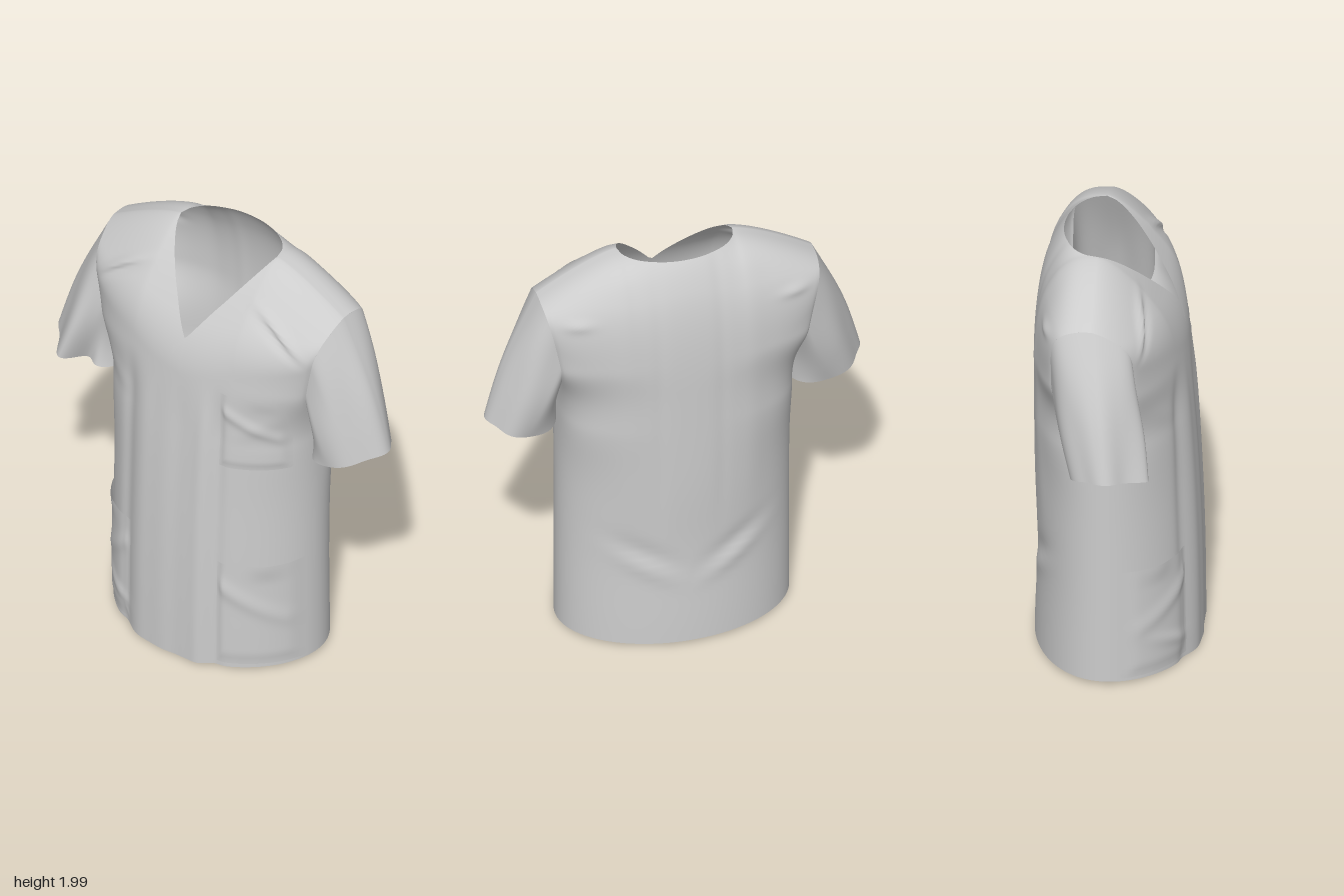
import * as THREE from 'three';
import { mergeGeometries, mergeVertices } from 'three/addons/utils/BufferGeometryUtils.js';

const NECK = 0.26, SHOULDER = 0.62, ARMPIT = 1.18, TOP = 1.995, CREST = -0.075;
const V_X = 0.01, V_Y = 1.635;
const { clamp, lerp, smoothstep } = THREE.MathUtils;
const bump = (x, s) => Math.exp(-((x / s) ** 2));

// Rounded minimum, blends chest and shoulder slopes
const softMin = (a, b, k = 0.06) => {
  const h = Math.max(k - Math.abs(a - b), 0) / k;
  return Math.min(a, b) - h * h * k / 4;
};

// Half width of the torso at a height
const halfWidth = (y) => 0.52 + 0.1 * clamp((y - 1.2) / 0.62, 0, 1) ** 1.5;

// Height of the shoulder line
const shoulderY = (x) => TOP - 0.168 * (Math.max(Math.abs(x) - NECK, 0) / (SHOULDER - NECK)) ** 1.35;

// Rounded cross-section factor: 1 at the centre, 0 at the side
const section = (x, y, low, full) => {
  const r = clamp(1 - (x / halfWidth(y)) ** 2, 0, 1);
  return r ** (lerp(low, 0.75, smoothstep(y, 1.15, 1.6)) - full * bump(y - 1.2, 0.25));
};

// Soft cloth folds
function frontFold(x, y) {
  const low = 1 - smoothstep(y, 1.2, 1.5);
  let f = low * (-0.014 * bump(x + 0.27, 0.04) - 0.014 * bump(x - 0.215, 0.035)
    + 0.01 * bump(x - 0.15, 0.04) + 0.007 * bump(x + 0.17, 0.05) - 0.006 * bump(x - 0.03, 0.05));
  const ax = Math.abs(x);
  const line = 1.86 - 0.45 * (ax - 0.3) - 0.8 * (ax - 0.3) ** 2;
  f += bump(ax - 0.43, 0.11) * (0.02 * bump(y - line + 0.015, 0.018) - 0.012 * bump(y - line + 0.05, 0.02));
  f += 0.006 * bump(ax - 0.4, 0.1) * bump(y - 1.3 - 0.5 * (ax - 0.4), 0.05);
  f += 0.01 * bump(x + 0.36, 0.1) * bump(y - 0.16 + 0.4 * (x + 0.36), 0.03);
  return f;
}

function backFold(x, y) {
  const ax = Math.abs(x), sag = 0.32 + 0.5 * ax;
  let f = bump(ax - 0.2, 0.13) * (0.01 * bump(y - sag, 0.04) - 0.01 * bump(y - sag - 0.08, 0.05));
  f += smoothstep(y, 0.5, 0.9) * (0.004 * bump(ax - 0.28, 0.06) - 0.003 * bump(ax - 0.14, 0.03));
  f += 0.015 * bump(ax - 0.5, 0.07) * bump(y - 1.76, 0.025);
  return f;
}

const foldMask = (x, y, d) => (1 - clamp(Math.abs(x) / halfWidth(y), 0, 1) ** 6) * smoothstep(d, 0.0, 0.08);

// Depth of the front cloth
function frontZ(x, y) {
  const d = Math.max(shoulderY(x) - y, 0);
  const edge = lerp(-0.03, 0.105, smoothstep(y, ARMPIT, 1.48));
  const centre = 0.37 - 0.085 * (y / 1.6) ** 2.2;
  const chest = edge + (centre - edge) * section(x, y, 0.54, 0.08);
  const slope = CREST + 0.36 * (d / 0.39) ** 0.66;
  return softMin(chest, slope) + frontFold(x, y) * foldMask(x, y, d);
}

// Depth of the back cloth; the arch rounds the back of the neck opening
function backZ(x, y) {
  const round = Math.sqrt(Math.max(1 - (x / NECK) ** 2, 0));
  const arch = 0.4 * (0.165 * round / 0.295) ** (1 / 0.33);
  const d = Math.max(shoulderY(x) + arch - y, 0);
  const edge = lerp(0.03, 0.25, smoothstep(y, ARMPIT, 1.52));
  const centre = 0.367 - 0.014 * bump(y - 0.45, 0.3);
  const body = edge + (centre - edge) * section(x, y, 0.5, 0.17);
  const slope = -CREST + 0.295 * (d / 0.4) ** 0.33;
  return -softMin(body, slope) - backFold(x, y) * foldMask(x, y, d);
}

// Height of the V neckline
const neckY = (x) => x > V_X
  ? lerp(V_Y, TOP, (x - V_X) / (NECK - V_X))
  : lerp(V_Y, TOP, (V_X - x) / (NECK + V_X));

// Grid surface from point(u, v), u and v in 0..1
function surface(nu, nv, point) {
  const pos = [], idx = [];
  for (let j = 0; j <= nv; j++) {
    for (let i = 0; i <= nu; i++) pos.push(...point(i / nu, j / nv));
  }
  for (let j = 0; j < nv; j++) {
    for (let i = 0; i < nu; i++) {
      const a = j * (nu + 1) + i, b = a + 1, c = a + nu + 1, d = c + 1;
      idx.push(a, b, d, a, d, c);
    }
  }
  const g = new THREE.BufferGeometry();
  g.setAttribute('position', new THREE.Float32BufferAttribute(pos, 3));
  g.setIndex(idx);
  return g;
}

// Weld shared edges and smooth
function smooth(...parts) {
  const g = mergeVertices(mergeGeometries(parts), 1e-4);
  g.computeVertexNormals();
  return g;
}

// Front (dir 1) or back (dir -1) panel, from the hem to neckline and shoulder
function panel(dir) {
  return surface(124, 90, (a, b) => {
    const u = dir * (a * 2 - 1), top = SHOULDER * u;
    const topY = dir > 0 && Math.abs(top) < NECK ? neckY(top) : shoulderY(top);
    const hem = dir > 0 ? 0.004 + 0.016 * Math.abs(u) : 0.02;
    const y = hem + (topY - hem) * (1 - (1 - b) ** 1.8);
    const round = 1 - smoothstep(y, 1.2, 1.8);
    const x = halfWidth(y) * lerp(u, Math.sin(u * Math.PI / 2), round);
    return [x, y, dir > 0 ? frontZ(x, y) : backZ(x, y)];
  });
}

// Sleeve from the armhole to the cuff
function sleeve(side) {
  const armTop = shoulderY(SHOULDER);
  return surface(96, 36, (a, v) => {
    const phi = -side * a * Math.PI * 2, c = Math.cos(phi), s = Math.sin(phi);
    const ry = lerp(ARMPIT, armTop, 0.5 + 0.5 * c), rx = halfWidth(ry);
    const rz = s >= 0 ? frontZ(rx, ry) : backZ(rx, ry);
    // Left cuff turns back, right cuff flares forward
    const cuffZ = side > 0 ? -0.055 - 0.035 * c : -0.01;
    const flare = side > 0 ? 0 : Math.max(s, 0) * (0.055 * bump(c - 0.3, 0.3) - 0.05 * bump(c + 0.25, 0.25));
    const cx = 0.683 + 0.162 * c, cy = 1.155 + 0.045 * c - 0.01 * s * s;
    const cz = cuffZ + 0.145 * s + flare;
    const swell = Math.sin(Math.PI * v), outer = Math.max(c, 0);
    const fold = 0.009 * Math.sin(phi * 5 + 1) * smoothstep(v, 0.1, 0.7) * (0.5 + 0.5 * c);
    const out = 0.018 * swell * outer + fold;
    return [
      side * (lerp(rx, cx, v) + out * c),
      lerp(ry, cy, v) + 0.01 * swell * outer,
      lerp(rz, cz, v) + s * (0.01 * swell + fold),
    ];
  });
}

// Patch pocket lying softly on the front, its mouth gaping near the outer side
function pocket(x0, x1, y0, y1, gape) {
  return surface(32, 32, (a, b) => {
    const x = lerp(x0, x1, a), y = lerp(y0, y1, b);
    const raise = smoothstep(Math.min(a, 1 - a, b), 0, 0.12);
    const mouth = gape * bump(a - 0.68, 0.2) * smoothstep(b, 0.8, 1);
    const crease = 0.009 * bump(b - 0.8 + 0.4 * a, 0.08);
    const lift = 0.001 + raise * (0.006 + mouth + crease);
    return [x * (1 + 0.008 * raise), y, frontZ(x, y) + lift];
  });
}

export function createModel() {
  const group = new THREE.Group();
  const cloth = new THREE.MeshStandardMaterial({ color: 0xcccccc, side: THREE.DoubleSide });
  cloth.name = 'light grey cloth';
  const add = (name, ...parts) => {
    const mesh = new THREE.Mesh(smooth(...parts), cloth);
    mesh.name = name;
    group.add(mesh);
  };

  add('body', panel(1), panel(-1));
  add('leftSleeve', sleeve(1));
  add('rightSleeve', sleeve(-1));
  add('chestPocket', pocket(0.22, 0.485, 1.07, 1.45, 0.004));
  add('leftHipPocket', pocket(0.225, 0.508, 0.03, 0.56, 0.014));
  add('rightHipPocket', pocket(-0.25, -0.508, 0.03, 0.56, 0.014).scale(1, 1, 1));

  // Crossed end of the neckline
  add('neckOverlap', surface(8, 4, (a, b) => {
    const slope = (TOP - V_Y) / (NECK - V_X);
    const x = lerp(-0.035, V_X + 0.01, a), y = V_Y + slope * (x - V_X) + (b - 1) * 0.02 * (1 - a) + b * 0.03 * (1 - a);
    return [x, y, frontZ(x, y) + 0.005];
  }));
  return group;
}
